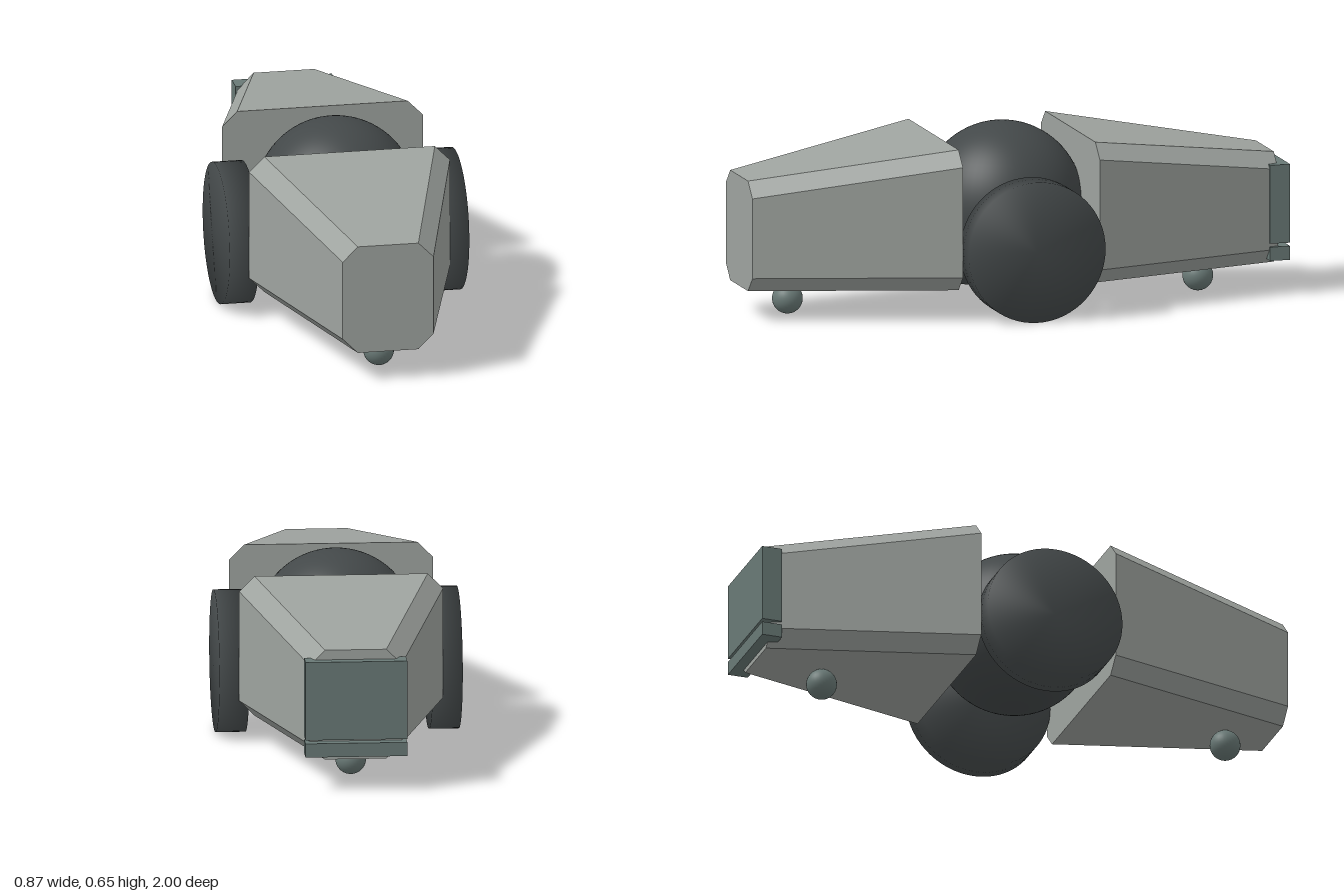
import * as THREE from 'three';
import { mergeVertices } from 'three/addons/utils/BufferGeometryUtils.js';

function material(name, color) {
  const m = new THREE.MeshStandardMaterial({ color });
  m.name = name;
  return m;
}

// Chamfered octagonal hull, narrowing from its inner end (z = 0) to its nose
function hullGeometry() {
  const w = 0.365, c = 0.055, bottom = 0.11, top = 0.62, length = 0.725;
  const shape = new THREE.Shape([
    [w - c, bottom], [w, bottom + c], [w, top - c], [w - c, top],
    [c - w, top], [-w, top - c], [-w, bottom + c], [c - w, bottom],
  ].map(([x, y]) => new THREE.Vector2(x, y)));
  const geo = new THREE.ExtrudeGeometry(shape, { depth: length, bevelEnabled: false });
  const p = geo.attributes.position;
  for (let i = 0; i < p.count; i++) {
    const t = p.getZ(i) / length;
    p.setX(i, p.getX(i) - Math.sign(p.getX(i)) * 0.2 * t);
    if (p.getY(i) > 0.3) p.setY(i, p.getY(i) - 0.11 * t);
  }
  geo.computeVertexNormals();
  return geo;
}

// Disc wheel with normals blended across the rim
function wheelGeometry() {
  let geo = new THREE.CylinderGeometry(0.255, 0.255, 0.107, 64);
  geo.rotateZ(Math.PI / 2);
  geo.deleteAttribute('normal');
  geo.deleteAttribute('uv');
  geo = mergeVertices(geo);
  geo.computeVertexNormals();
  return geo;
}

export function createModel() {
  const model = new THREE.Group();
  const hullGrey = material('hull grey', 0x9ea39f);
  const trimGrey = material('trim grey green', 0x697976);
  const dark = material('dark charcoal', 0x434849);

  const add = (name, geo, mat, x, y, z) => {
    const mesh = new THREE.Mesh(geo, mat);
    mesh.name = name;
    mesh.position.set(x, y, z);
    model.add(mesh);
    return mesh;
  };

  // Front and rear hulls
  const hull = hullGeometry();
  add('frontHull', hull, hullGrey, 0, 0, 0.275);
  add('rearHull', hull, hullGrey, 0, 0, -0.235).rotation.y = Math.PI;

  // Central sphere and side wheels
  add('centralSphere', new THREE.SphereGeometry(0.29, 64, 40), dark, 0, 0.365, 0.02);
  const wheel = wheelGeometry();
  add('leftWheel', wheel, dark, 0.382, 0.255, 0.02);
  add('rightWheel', wheel, dark, -0.382, 0.255, 0.02);

  // Small ball casters
  const ball = new THREE.SphereGeometry(0.055, 32, 20);
  add('frontCaster', ball, trimGrey, 0, 0.055, 0.82);
  add('rearCaster', ball, trimGrey, 0, 0.055, -0.71);

  // Tail plate and the bar beneath it
  add('tailPlate', new THREE.BoxGeometry(0.364, 0.285, 0.075), trimGrey, 0, 0.332, -0.9625);
  add('tailBar', new THREE.BoxGeometry(0.364, 0.05, 0.075), trimGrey, 0, 0.152, -0.9625);

  return model;
}
